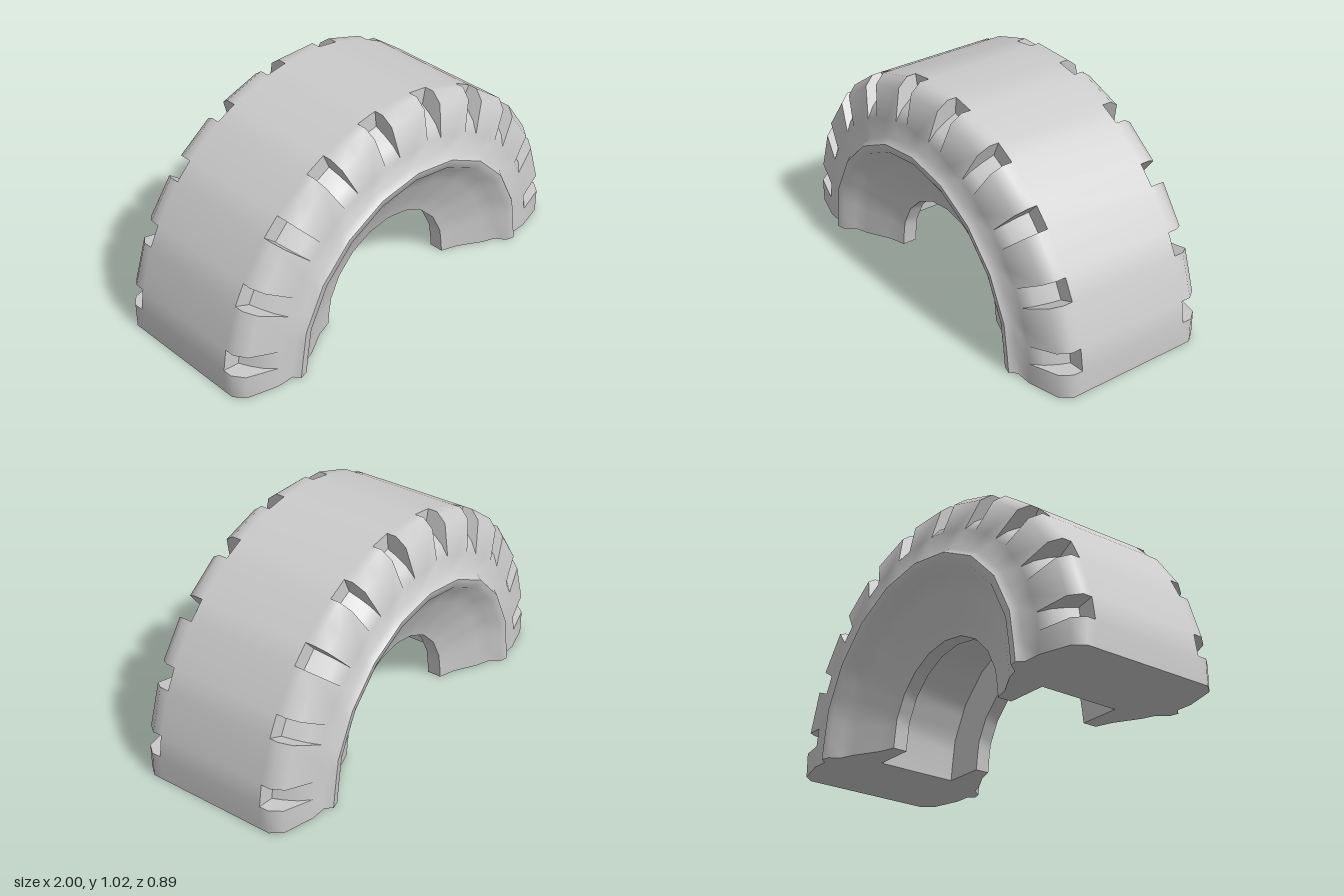
import * as THREE from 'three';
import { toCreasedNormals } from 'three/addons/utils/BufferGeometryUtils.js';

const CY = 0.016;              // wheel centre height, just above the cut
const PITCH = 18, HALF = 6;    // degrees per tread block, half block width
const rad = THREE.MathUtils.degToRad;

// Half cross-sections [radius, z], from tread shoulder round to the inner cavity
const blockShoulder = [[1, 0.28], [1, 0.28], [1, 0.325], [0.96, 0.375], [0.815, 0.415]];
const notchShoulder = [[1, 0.28], [0.92, 0.28], [0.897, 0.325], [0.862, 0.375], [0.815, 0.415]];
const sidewall = [
  [0.735, 0.415], [0.71, 0.445], [0.67, 0.435], [0.635, 0.387], [0.57, 0.362],
  [0.46, 0.297], [0.38, 0.27], [0.38, 0.2], [0.58, 0.2],
];

// Mirror a half section into a closed loop
function section(shoulder) {
  const half = [...shoulder, ...sidewall];
  return [...half, ...half.map(([r, z]) => [r, -z]).reverse()];
}

// Ring radius: outer rings are flat across each block, inner rings are 20-sided
function ringRadius(r, offset) {
  const a = Math.abs(offset);
  return r > 0.8
    ? r * (a <= HALF ? 1 / Math.cos(rad(a)) : 1 / Math.cos(rad(HALF)))
    : r * Math.cos(rad(9)) / Math.cos(rad(9 - a));
}

function column(loop, block, offset, atCut) {
  const t = rad(block * PITCH + offset);
  return loop.map(([r, z]) => {
    const R = ringRadius(r, offset);
    return new THREE.Vector3(R * Math.cos(t), atCut ? 0 : CY + R * Math.sin(t), z);
  });
}

// Sweep the section over the half circle; doubled columns make the notch walls
function tyreGeometry() {
  const block = section(blockShoulder), notch = section(notchShoulder);
  const columns = [];
  for (let k = 0; k <= 10; k++) {
    if (k > 0) {
      columns.push(column(notch, k, -HALF), column(block, k, -HALF));
    }
    columns.push(column(block, k, 0, k === 0 || k === 10));
    if (k < 10) {
      columns.push(column(block, k, HALF), column(notch, k, HALF));
    }
  }
  const positions = [];
  const tri = (...p) => {
    if (new THREE.Triangle(...p).getArea() > 1e-7) p.forEach((v) => positions.push(v.x, v.y, v.z));
  };
  for (let j = 0; j < columns.length - 1; j++) {
    const A = columns[j], B = columns[j + 1];
    for (let i = 0; i < A.length; i++) {
      const n = (i + 1) % A.length;
      tri(A[i], B[i], B[n]);
      tri(A[i], B[n], A[n]);
    }
  }
  const geometry = new THREE.BufferGeometry();
  geometry.setAttribute('position', new THREE.Float32BufferAttribute(positions, 3));
  return toCreasedNormals(geometry, 0.95);
}

// Flat cut face on the ground
function cutFace(side) {
  const loop = section(blockShoulder.slice(1));
  const shape = new THREE.Shape(loop.map(([r, z]) => new THREE.Vector2(side * r, z)));
  return new THREE.ShapeGeometry(shape).rotateX(Math.PI / 2);
}

export function createModel() {
  const group = new THREE.Group();
  group.name = 'halfTyre';
  const material = new THREE.MeshStandardMaterial({ color: 0xcccccc });
  const add = (name, geometry) => {
    const mesh = new THREE.Mesh(geometry, material);
    mesh.name = name;
    group.add(mesh);
  };
  add('tyreBody', tyreGeometry());
  add('leftCutFace', cutFace(1));
  add('rightCutFace', cutFace(-1));
  return group;
}
